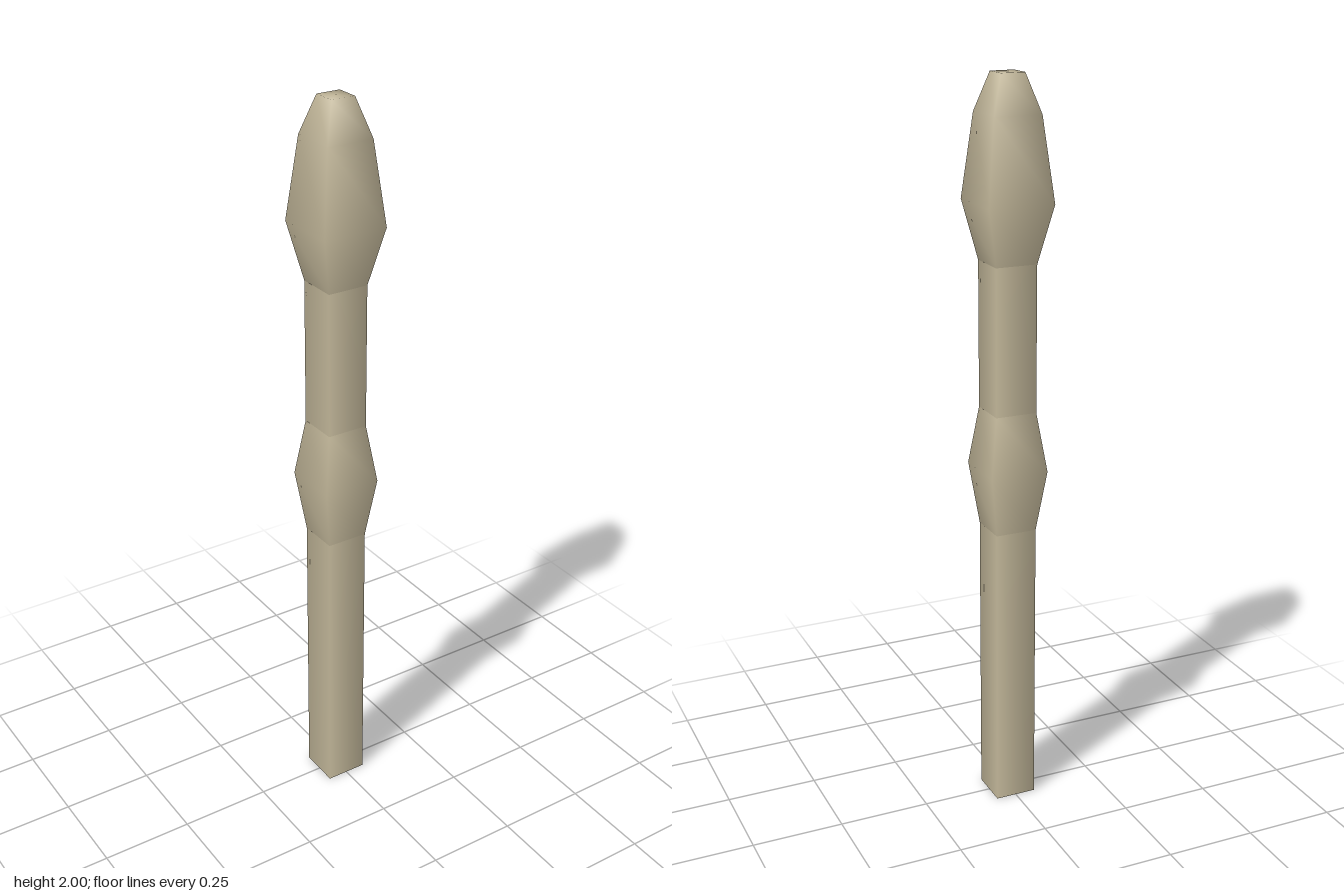
import * as THREE from 'three';

// Square-section post: each part is a four-sided lathe with smooth sides.
export function createModel() {
  const group = new THREE.Group();
  group.name = 'squarePost';
  const stone = new THREE.MeshStandardMaterial({ color: 0xbfb497 });
  stone.name = 'paleStone';

  // profile: [half width, height] pairs from bottom to top
  function squarePart(name, profile) {
    const points = profile.map(([h, y]) => new THREE.Vector2(h * Math.SQRT2, y));
    const mesh = new THREE.Mesh(new THREE.LatheGeometry(points, 4, Math.PI / 4), stone);
    mesh.name = name;
    group.add(mesh);
  }

  const w = 0.057;
  squarePart('base', [[0, 0], [w, 0]]);
  squarePart('lowerShaft', [[w, 0], [w, 0.8]]);
  squarePart('middleBulge', [[w, 0.8], [0.08, 0.97], [w, 1.13]]);
  squarePart('upperShaft', [[w, 1.13], [w, 1.525]]);
  // bud-shaped head with a small flat tip
  squarePart('head', [[w, 1.525], [0.09, 1.68], [0.065, 1.9], [0.033, 2], [0, 2]]);
  return group;
}
